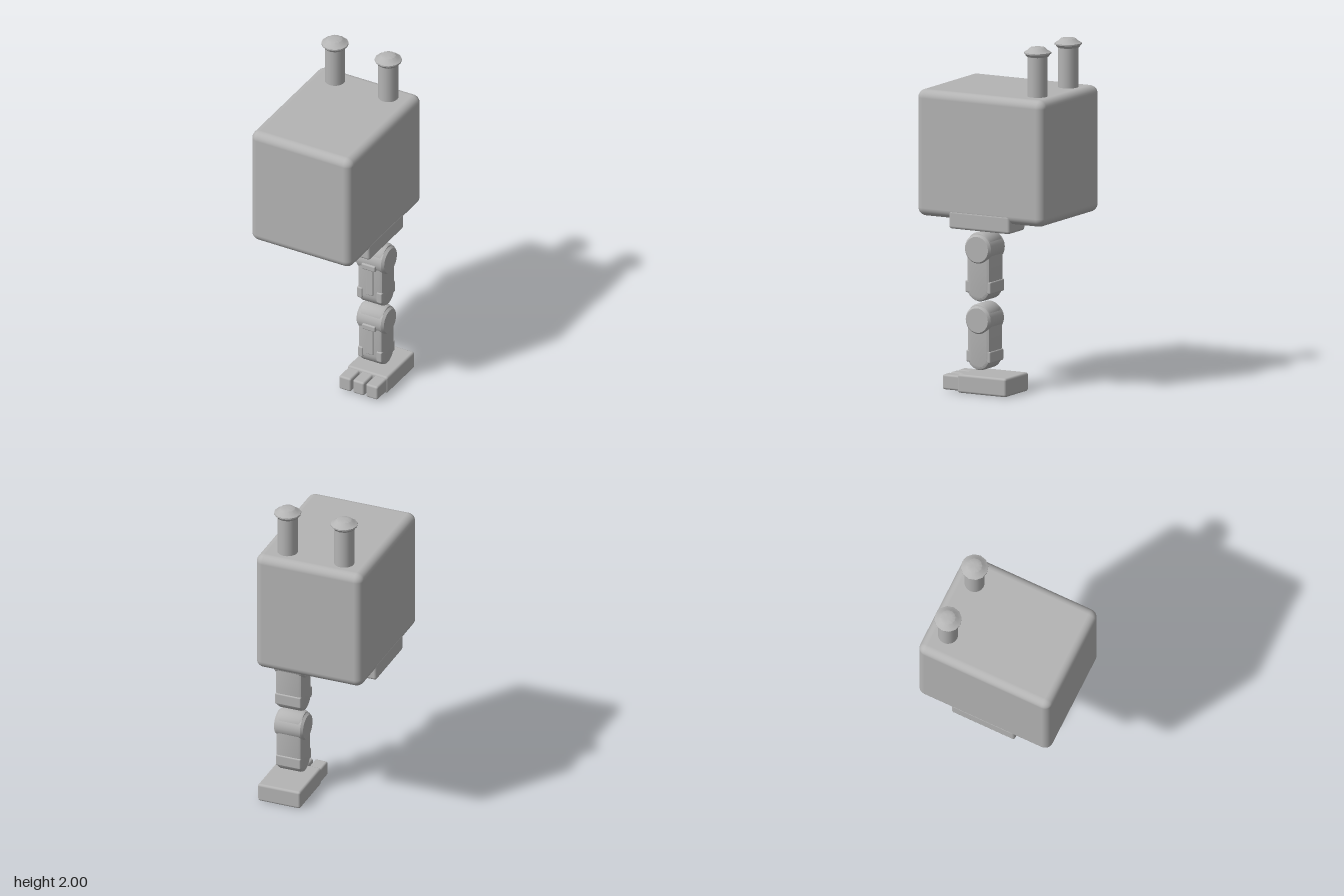
import * as THREE from 'three';
import { RoundedBoxGeometry } from 'three/addons/geometries/RoundedBoxGeometry.js';
import { toCreasedNormals } from 'three/addons/utils/BufferGeometryUtils.js';

const grey = new THREE.MeshStandardMaterial({ color: 0xb4b4b4 });
grey.name = 'plain grey';

function add(parent, name, geometry) {
  const mesh = new THREE.Mesh(geometry, grey);
  mesh.name = name;
  parent.add(mesh);
  return mesh;
}

// Rounded block given by its limits on each axis
function block(parent, name, [x0, x1], [y0, y1], [z0, z1], radius, segments = 2) {
  const geometry = new RoundedBoxGeometry(x1 - x0, y1 - y0, z1 - z0, segments, radius);
  geometry.translate((x0 + x1) / 2, (y0 + y1) / 2, (z0 + z1) / 2);
  return add(parent, name, geometry);
}

// Lathe whose axis runs up, with creased edges
function turned(profile, sides) {
  const points = profile.map(([r, y]) => new THREE.Vector2(r, y));
  return toCreasedNormals(new THREE.LatheGeometry(points, sides), 0.6);
}

// Capped exhaust pipe
function makePipe(x) {
  const pipe = new THREE.Group();
  pipe.name = 'pipe';
  add(pipe, 'pipeTube', new THREE.CylinderGeometry(0.058, 0.058, 0.27, 20).translate(0, 1.825, 0));
  add(pipe, 'pipeCap', turned([
    [0, 1.945], [0.064, 1.945], [0.07, 1.955], [0.078, 1.962], [0.078, 1.97],
    [0.07, 1.975], [0.061, 1.979], [0.043, 1.996], [0.02, 2], [0, 2]], 12));
  pipe.position.set(x, 0, -0.295);
  return pipe;
}

// One leg link, centred on x = 0, joint axis at y = 0
function makeLink(name) {
  const link = new THREE.Group();
  link.name = name;

  // Long shell with a round top and a round bottom
  const bevel = 0.02, r = 0.057, low = -0.226;
  const outline = new THREE.Shape();
  outline.absarc(0, 0.02, r, 0, Math.PI, false);
  outline.absarc(0, low, r, Math.PI, Math.PI * 2, false);
  outline.closePath();
  const shell = new THREE.ExtrudeGeometry(outline, {
    depth: 0.125, bevelThickness: bevel, bevelSize: bevel, bevelSegments: 2, curveSegments: 10,
  });
  shell.translate(0, 0, -0.0625).rotateY(Math.PI / 2);
  add(link, 'shell', toCreasedNormals(shell, 0.6));

  // Joint drum across the top
  const drum = turned([
    [0, -0.093], [0.074, -0.093], [0.086, -0.078], [0.086, 0.078], [0.074, 0.093], [0, 0.093]], 24);
  add(link, 'jointDrum', drum.rotateZ(Math.PI / 2));

  // Piston with its bracket on the front
  block(link, 'pistonRod', [-0.024, 0.024], [-0.22, 0.01], [0.05, 0.083], 0.006);
  block(link, 'pistonBracket', [-0.045, 0.045], [-0.045, -0.008], [0.05, 0.097], 0.008);

  // Clamps low on the shell
  for (const side of [-1, 1]) {
    const x = side * 0.064;
    block(link, 'frontClamp', [x - 0.018, x + 0.018], [-0.255, -0.185], [0.03, 0.083], 0.008);
  }
  block(link, 'backClamp', [-0.08, 0.08], [-0.255, -0.185], [-0.083, -0.03], 0.008);
  return link;
}

// Flat foot with three toes
function makeFoot() {
  const foot = new THREE.Group();
  foot.name = 'foot';
  block(foot, 'sole', [0.098, 0.36], [0, 0.108], [-0.213, 0.106], 0.014);
  for (const [x0, x1] of [[0.1, 0.178], [0.19, 0.264], [0.275, 0.353]]) {
    block(foot, 'toe', [x0, x1], [0.01, 0.097], [0.06, 0.208], 0.012);
  }
  return foot;
}

export function createModel() {
  const model = new THREE.Group();
  model.name = 'boxWalker';

  block(model, 'body', [-0.365, 0.295], [0.985, 1.715], [-0.418, 0.418], 0.048, 4);

  // Hip mounts, just proud of the body sides
  block(model, 'rightHipMount', [-0.366, -0.185], [0.93, 1.035], [-0.2, 0.2], 0.016);
  block(model, 'leftHipMount', [0.115, 0.296], [0.93, 1.035], [-0.2, 0.2], 0.016);

  for (const x of [-0.208, 0.14]) model.add(makePipe(x));

  // Single left leg
  const leg = new THREE.Group();
  leg.name = 'leftLeg';
  const thigh = makeLink('thigh');
  thigh.position.set(0.228, 0.83, 0);
  const shin = makeLink('shin');
  shin.scale.setScalar(0.96);
  shin.position.set(0.228, 0.42, 0);
  leg.add(thigh, shin, makeFoot());
  model.add(leg);

  return model;
}
